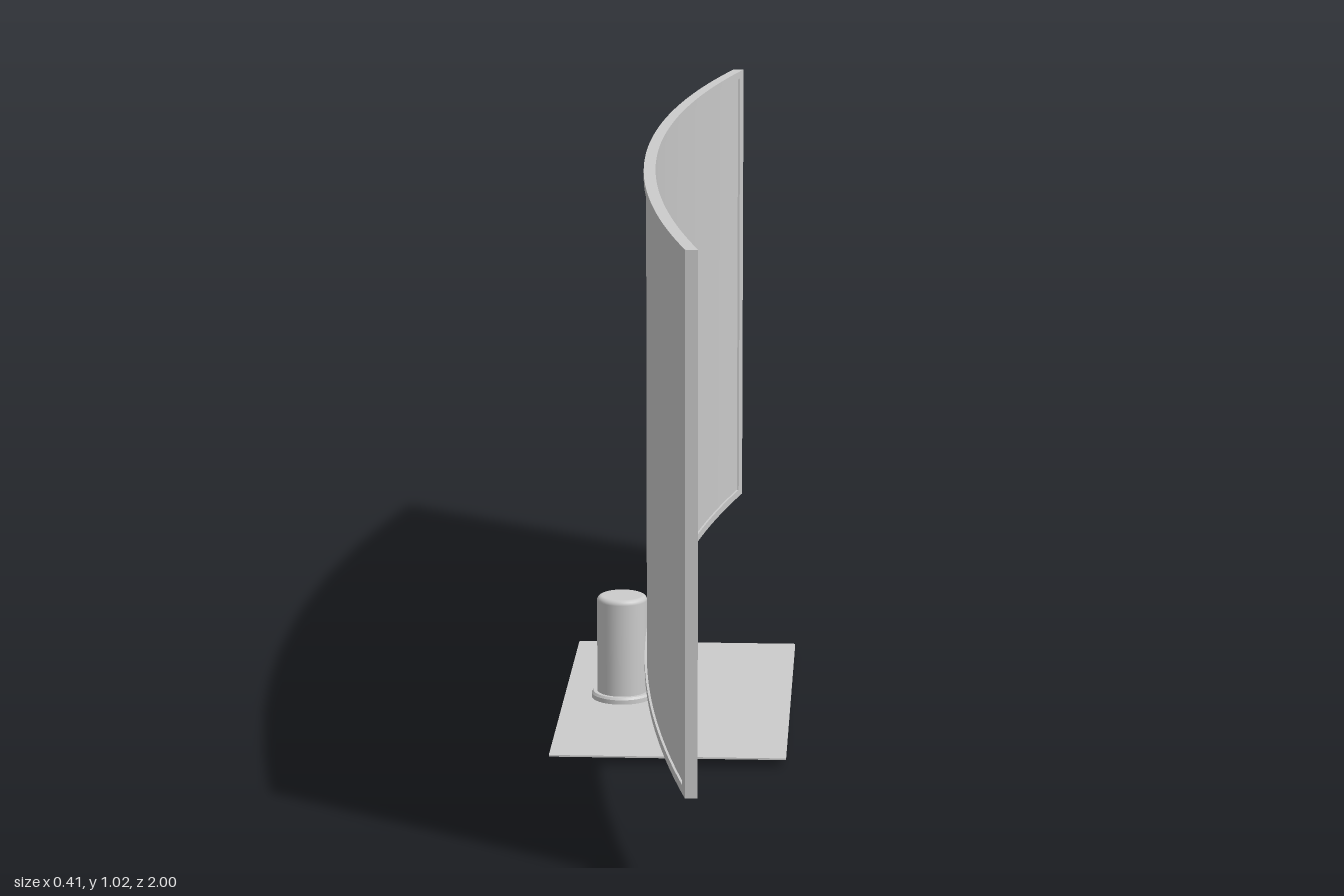
import * as THREE from 'three';

const SAG = 0.113;                       // how far the ends of the screen come forward
const RADIUS = (1 + SAG * SAG) / (2 * SAG);
const THICK = 0.02, BACK = -0.052;       // screen thickness and back plane at the middle
const BOTTOM = 0.15, TOP = 1.017, BEZEL = 0.014, SIDE = 0.026, RECESS = 0.004;

const material = new THREE.MeshStandardMaterial({ color: 0xcccccc, roughness: 0.6 });

function add(parent, name, geometry, x = 0, y = 0, z = 0) {
  const mesh = new THREE.Mesh(geometry, material);
  mesh.name = name;
  mesh.position.set(x, y, z);
  parent.add(mesh);
  return mesh;
}

// Box between two corners, bent around a vertical axis in front of the screen
function curvedBox(x0, x1, y0, y1, z0, z1) {
  const segments = Math.max(1, Math.round((z1 - z0) * 32));
  const geo = new THREE.BoxGeometry(x1 - x0, y1 - y0, z1 - z0, 1, 1, segments);
  geo.translate((x0 + x1) / 2, (y0 + y1) / 2, (z0 + z1) / 2);
  const p = geo.attributes.position;
  for (let i = 0; i < p.count; i++) {
    const z = p.getZ(i);
    p.setX(i, p.getX(i) + RADIUS - Math.sqrt(RADIUS * RADIUS - z * z));
  }
  geo.computeVertexNormals();
  return geo;
}

export function createModel() {
  const model = new THREE.Group();
  model.name = 'curvedMonitor';

  // Curved screen: recessed panel held by a four-bar frame
  const screen = new THREE.Group();
  screen.name = 'screen';
  model.add(screen);
  const front = BACK + THICK;
  add(screen, 'panel', curvedBox(BACK + RECESS, front - RECESS,
    BOTTOM + BEZEL / 2, TOP - BEZEL / 2, -1 + SIDE / 2, 1 - SIDE / 2));
  add(screen, 'frameTop', curvedBox(BACK, front, TOP - BEZEL, TOP, -1, 1));
  add(screen, 'frameBottom', curvedBox(BACK, front, BOTTOM, BOTTOM + BEZEL, -1, 1));
  for (const [side, name] of [[1, 'Left'], [-1, 'Right']]) {
    const z = [side, side * (1 - SIDE)].sort((a, b) => a - b);
    add(screen, 'frame' + name, curvedBox(BACK, front, BOTTOM + BEZEL, TOP - BEZEL, ...z));
    // Slim strip on the end of the frame
    add(screen, 'edgeStrip' + name, new THREE.BoxGeometry(0.003, 0.12, 0.002),
      0.072, 0.595, side * 0.9995);
  }

  // Stand: thin plate, collar and round-topped post
  const stand = new THREE.Group();
  stand.name = 'stand';
  model.add(stand);
  add(stand, 'basePlate', new THREE.BoxGeometry(0.408, 0.003, 0.72), 0, 0.0145, 0);

  const turned = (points) =>
    new THREE.LatheGeometry(points.map(([r, y]) => new THREE.Vector2(r, y)), 40);
  add(stand, 'collar', turned([
    [0, 0], [0.053, 0], [0.053, 0], [0.055, 0.002], [0.055, 0.002],
    [0.055, 0.024], [0.055, 0.024], [0.052, 0.028], [0.052, 0.028], [0.04, 0.028],
  ]), -0.1, 0, 0);

  const post = [[0.045, 0.02], [0.045, 0.196]];
  for (let i = 1; i <= 5; i++) {
    const a = (i / 5) * Math.PI / 2;
    post.push([0.036 + 0.009 * Math.cos(a), 0.196 + 0.009 * Math.sin(a)]);
  }
  post.push([0, 0.205]);
  add(stand, 'post', turned(post), -0.1, 0, 0);

  return model;
}
